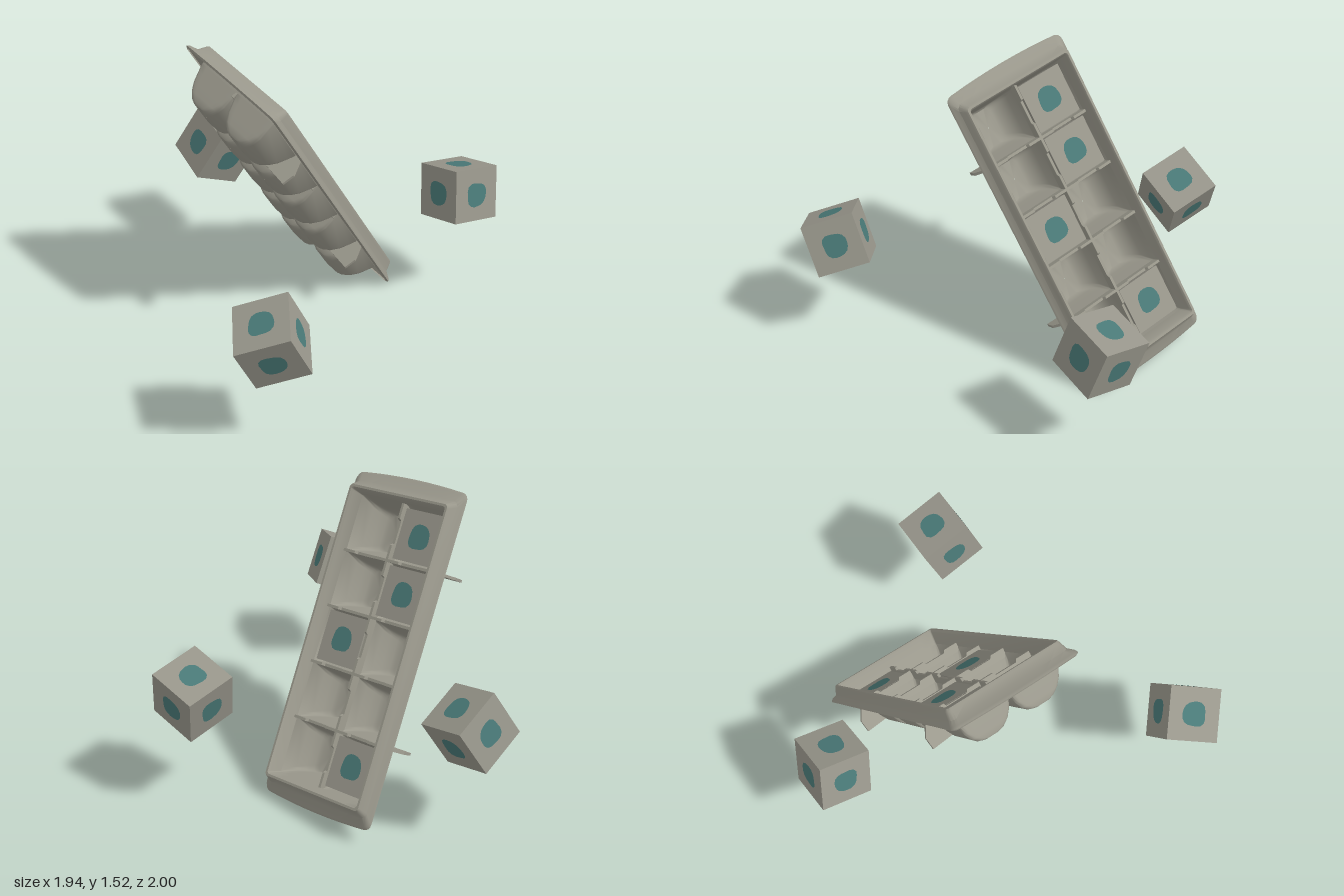
import * as THREE from 'three';
import { toCreasedNormals } from 'three/addons/utils/BufferGeometryUtils.js';

const trayMat = new THREE.MeshStandardMaterial({ color: 0x9a988c, side: THREE.DoubleSide });
trayMat.name = 'tray grey';
const iceMat = new THREE.MeshStandardMaterial({ color: 0x98968b });
iceMat.name = 'cube grey';
const dotMat = new THREE.MeshStandardMaterial({ color: 0x4a7a78, side: THREE.DoubleSide });
dotMat.name = 'teal dot';

const PITCH = 0.297;

function mesh(name, geometry, material) {
  const m = new THREE.Mesh(geometry, material);
  m.name = name;
  return m;
}

// Rounded rectangle at height y; bulge bows the two short ends outward
function ring(hl, hw, r, y, bulge = 0) {
  const pts = [];
  const signs = [[1, 1], [-1, 1], [-1, -1], [1, -1]];
  signs.forEach(([sx, sz], c) => {
    for (let i = 0; i <= 4; i++) {
      const a = (c + i / 4) * Math.PI / 2;
      pts.push([sx * (hl - r) + r * Math.cos(a), y, sz * (hw - r) + r * Math.sin(a)]);
    }
    if (c % 2 === 1) {
      for (let i = 1; i < 8; i++) pts.push([sx * hl, y, sz * (hw - r) * (1 - i / 4)]);
    }
  });
  return pts.map(([x, h, z]) => [x + Math.sign(x) * bulge * (1 - (z / hw) ** 2), h, z]);
}

// Skin a stack of rings
function loft(rings, crease = 0.7) {
  const n = rings[0].length, idx = [];
  for (let k = 0; k < rings.length - 1; k++) {
    for (let i = 0; i < n; i++) {
      const a = k * n + i, b = k * n + (i + 1) % n;
      idx.push(a, a + n, b, b, a + n, b + n);
    }
  }
  const g = new THREE.BufferGeometry();
  g.setAttribute('position', new THREE.Float32BufferAttribute(rings.flat(2), 3));
  g.setIndex(idx);
  return toCreasedNormals(g, crease);
}

// Thin plate drawn in (z, y) and given a thickness along x
function plate(points, thickness) {
  const s = new THREE.Shape(points.map(([z, y]) => new THREE.Vector2(-z, y)));
  const g = new THREE.ExtrudeGeometry(s, { depth: thickness, bevelEnabled: false });
  g.translate(0, 0, -thickness / 2);
  g.rotateY(Math.PI / 2);
  return g;
}

// Slightly uneven round spot
function spotGeometry(radius) {
  const g = new THREE.CircleGeometry(radius, 18);
  const p = g.attributes.position;
  for (let i = 1; i < p.count; i++) {
    const a = ((i - 1) % 18) / 18 * Math.PI * 2;
    const k = 1 + 0.05 * Math.sin(3 * a + 1) - 0.05 * Math.cos(4 * a);
    p.setXY(i, p.getX(i) * k, p.getY(i) * k);
  }
  return g;
}

// Cube with a spot on each face
function makeCube(name, size) {
  const g = new THREE.Group();
  g.name = name;
  g.add(mesh('cubeBody', new THREE.BoxGeometry(size, size, size), iceMat));
  const h = size / 2 + 0.002;
  const spot = spotGeometry(0.066);
  [[0, 0], [0, 1], [0, 2], [0, 3], [1, 0], [-1, 0]].forEach(([rx, ry]) => {
    const m = mesh('cubeSpot', spot, dotMat);
    m.rotation.set(rx * Math.PI / 2, ry * Math.PI / 2, 0);
    m.position.set(0, 0, h).applyEuler(m.rotation);
    g.add(m);
  });
  return g;
}

// Orient a group from two edge directions
function orient(group, xDir, yDir, position) {
  const x = new THREE.Vector3(...xDir).normalize();
  const z = new THREE.Vector3().crossVectors(x, new THREE.Vector3(...yDir)).normalize();
  const y = new THREE.Vector3().crossVectors(z, x);
  group.quaternion.setFromRotationMatrix(new THREE.Matrix4().makeBasis(x, y, z));
  group.position.set(...position);
  return group;
}

// Tray in its own frame: x along the length, y out of the opening, z across
function makeTray() {
  const tray = new THREE.Group();
  tray.name = 'tray';

  // Flange sweeping up to the rim and down into the opening
  tray.add(mesh('trayRim', loft([
    ring(0.845, 0.358, 0.03, -0.008, 0.018),
    ring(0.855, 0.368, 0.035, 0, 0.018),
    ring(0.845, 0.362, 0.035, 0.012, 0.016),
    ring(0.805, 0.342, 0.03, 0.03, 0.008),
    ring(0.785, 0.332, 0.025, 0.07),
    ring(0.777, 0.325, 0.02, 0.082),
    ring(0.765, 0.313, 0.015, 0.082),
    ring(0.757, 0.307, 0.012, 0.07),
    ring(0.7425, 0.297, 0.008, 0),
  ]), trayMat));

  // Ten pockets with tapered ends and rounded sides
  const pocket = loft([
    ring(0.1485, 0.1485, 0.006, 0),
    ring(0.138, 0.143, 0.015, -0.04),
    ring(0.125, 0.13, 0.02, -0.09),
    ring(0.114, 0.108, 0.025, -0.13),
    ring(0.105, 0.078, 0.03, -0.158),
    ring(0.096, 0.055, 0.03, -0.168),
    ring(0.002, 0.002, 0.001, -0.17),
  ], 0.75);
  for (let row = -2; row <= 2; row++) {
    for (const side of [-1, 1]) {
      const m = mesh('pocket', pocket, trayMat);
      m.position.set(row * PITCH, 0, side * PITCH / 2);
      tray.add(m);
    }
  }

  // Dividers with a low notch in each span
  const span = [[-0.1485, -0.03], [0.1485, -0.03], [0.1485, 0.022], [0.07, 0.022],
    [0.06, 0.006], [-0.06, 0.006], [-0.07, 0.022], [-0.1485, 0.022]];
  const divider = plate(span, 0.014);
  for (let i = 0; i < 4; i++) {
    for (const side of [-1, 1]) {
      const m = mesh('crossDivider', divider, trayMat);
      m.position.set((i - 1.5) * PITCH, 0, side * PITCH / 2);
      tray.add(m);
    }
  }
  for (let row = -2; row <= 2; row++) {
    const m = mesh('longDivider', divider, trayMat);
    m.rotation.y = Math.PI / 2;
    m.position.x = row * PITCH;
    tray.add(m);
  }

  // Thin support fins under both long edges
  for (const side of [-1, 1]) {
    const fin = plate([[0.2, 0], [0.33, 0.01], [0.375, -0.08], [0.365, -0.145], [0.2, -0.13]]
      .map(([z, y]) => [z * side, y]), 0.014);
    for (const end of [-1, 1]) {
      const m = mesh('supportFin', fin, trayMat);
      m.position.x = end * 1.5 * PITCH;
      tray.add(m);
    }
  }

  // Cubes still seated in the pockets
  const block = loft([
    ring(0.002, 0.002, 0.001, 0.004), ring(0.131, 0.131, 0.004, 0.004),
    ring(0.112, 0.1, 0.004, -0.125), ring(0.002, 0.002, 0.001, -0.125),
  ], 0.4);
  block.scale(1, 1, 1);
  const blockMat = iceMat;
  blockMat.side = THREE.DoubleSide;
  [[2, 1], [1, 1], [0, -1], [-2, 1]].forEach(([row, side]) => {
    const seat = new THREE.Group();
    seat.name = 'seatedCube';
    seat.add(mesh('seatedCubeBody', block, blockMat));
    const spot = mesh('seatedCubeSpot', spotGeometry(0.066), dotMat);
    spot.rotation.x = -Math.PI / 2;
    spot.position.y = 0.007;
    seat.add(spot);
    seat.position.set(row * PITCH, 0, side * PITCH / 2);
    tray.add(seat);
  });
  return tray;
}

export function createModel() {
  const model = new THREE.Group();
  model.name = 'iceCubeTray';

  // Tilted tray
  model.add(orient(makeTray(), [-0.542, 0.833, 0.116], [0.841, 0.537, 0.074], [0.083, 0.775, -0.123]));

  // Loose cubes around it
  model.add(orient(makeCube('looseCubeRight', 0.277),
    [0.15, 0.08, -0.219], [-0.125, 0.25, 0], [-0.735, 0.605, 0.803]));
  model.add(orient(makeCube('looseCubeBack', 0.277),
    [0.25, -0.119, 0], [-0.04, -0.07, 0.265], [0.088, 0.605, -0.825]));
  model.add(orient(makeCube('looseCubeLeft', 0.277),
    [0.275, -0.05, 0.013], [0.05, 0.26, -0.068], [0.81, 0.623, 0.36]));
  return model;
}
